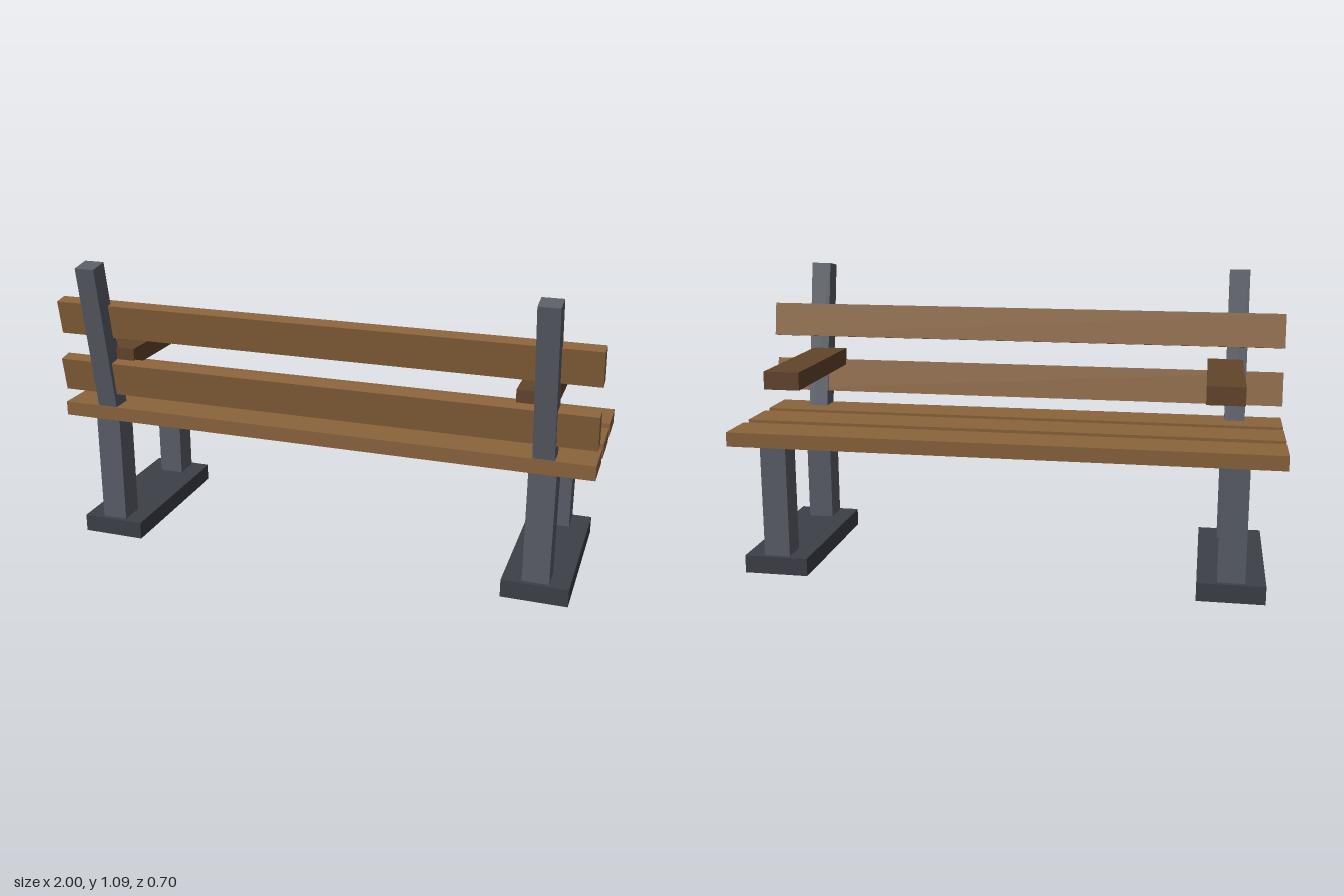
import * as THREE from 'three';

const wood = new THREE.MeshStandardMaterial({ color: 0x8b643c });
const darkWood = new THREE.MeshStandardMaterial({ color: 0x63452b });
const metal = new THREE.MeshStandardMaterial({ color: 0x5a5e68 });
const darkMetal = new THREE.MeshStandardMaterial({ color: 0x3e4049 });

const RECLINE = THREE.MathUtils.degToRad(10); // backrest lean towards +z

export function createModel() {
  const bench = new THREE.Group();
  bench.name = 'bench';

  const addBox = (name, material, size, position, tilt = 0) => {
    const mesh = new THREE.Mesh(new THREE.BoxGeometry(...size), material);
    mesh.name = name;
    mesh.position.set(...position);
    mesh.rotation.x = tilt;
    bench.add(mesh);
  };

  // Seat planks
  [0.174, -0.037, -0.249].forEach((z, i) =>
    addBox(`seatSlat${i + 1}`, wood, [2, 0.053, 0.166], [0, 0.502, z]));

  // Leaning backrest planks
  [0.645, 0.867].forEach((y, i) =>
    addBox(`backSlat${i + 1}`, wood, [2, 0.128, 0.052], [0, y, 0.23], RECLINE));

  // Mirrored end supports
  for (const [side, s] of [['left', 1], ['right', -1]]) {
    const x = s * 0.825;
    addBox(`${side}Foot`, darkMetal, [0.238, 0.066, 0.622], [x, 0.033, -0.037]);
    addBox(`${side}BackLeg`, metal, [0.096, 0.439, 0.097], [x, 0.2755, 0.208]);
    addBox(`${side}FrontLeg`, metal, [0.096, 0.439, 0.097], [x, 0.2755, -0.282]);
    addBox(`${side}BackPost`, metal, [0.075, 0.689, 0.076], [x, 0.7455, 0.253], RECLINE);
    addBox(`${side}Armrest`, darkWood, [0.131, 0.065, 0.55], [s * 0.782, 0.724, -0.05]);
  }

  return bench;
}
